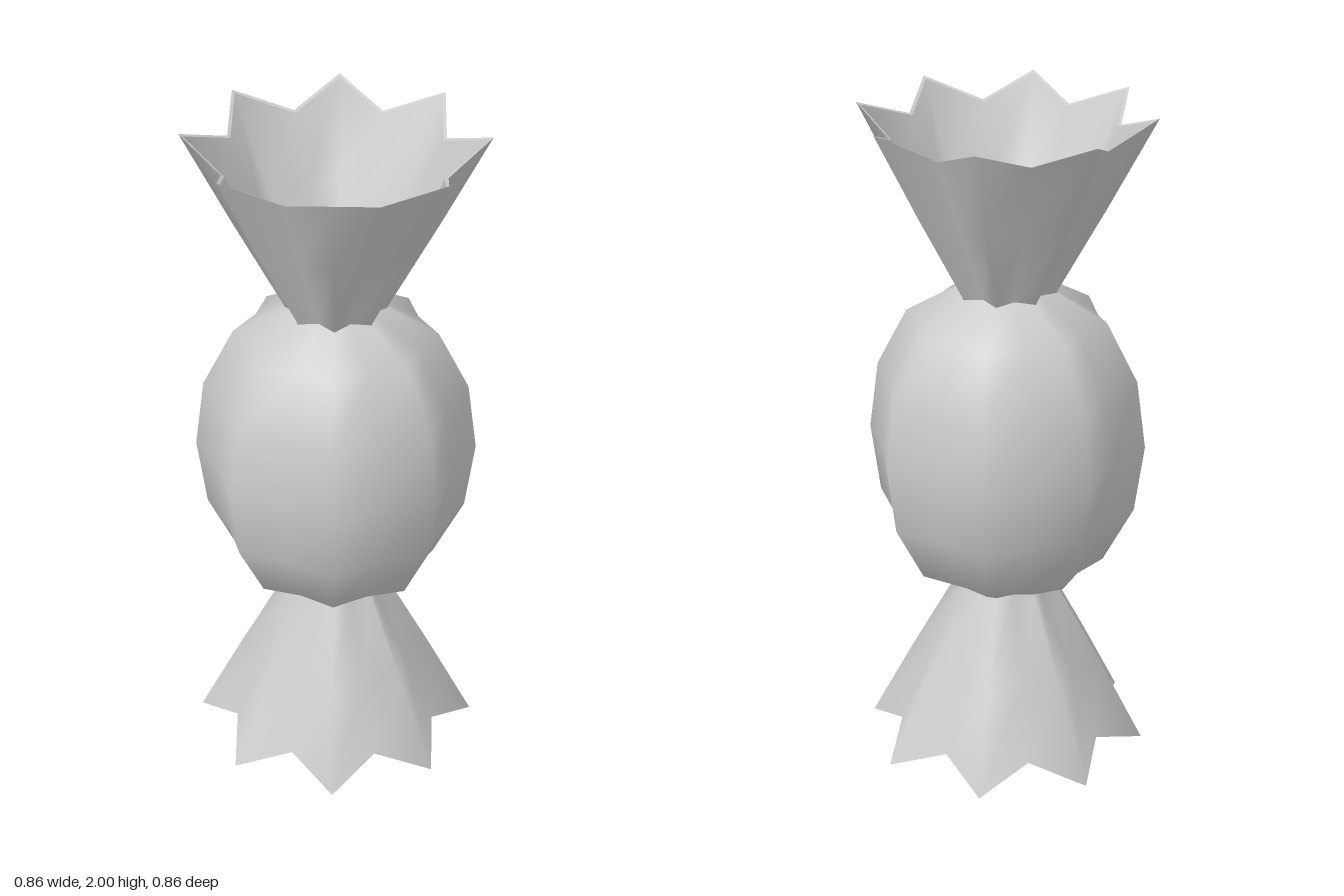
import * as THREE from 'three';

const POINTS = 8;
const SIDES = POINTS * 2;
const material = new THREE.MeshStandardMaterial({ color: 0xcccccc, side: THREE.DoubleSide });

// Skins star-shaped rings, listed bottom to top as [tipRadius, tipY, valleyRadius, valleyY]
function starLoft(name, rings) {
  const positions = [];
  const index = [];
  for (const [tipR, tipY, valleyR, valleyY] of rings) {
    for (let i = 0; i < SIDES; i++) {
      const a = (i / SIDES) * Math.PI * 2;
      const r = i % 2 ? valleyR : tipR;
      positions.push(r * Math.sin(a), i % 2 ? valleyY : tipY, r * Math.cos(a));
    }
  }
  for (let j = 0; j < rings.length - 1; j++) {
    for (let i = 0; i < SIDES; i++) {
      const a = j * SIDES + i;
      const b = j * SIDES + ((i + 1) % SIDES);
      index.push(a, b, b + SIDES, a, b + SIDES, a + SIDES);
    }
  }
  const geometry = new THREE.BufferGeometry();
  geometry.setAttribute('position', new THREE.Float32BufferAttribute(positions, 3));
  geometry.setIndex(index);
  geometry.computeVertexNormals();
  const mesh = new THREE.Mesh(geometry, material);
  mesh.name = name;
  return mesh;
}

// Flared wrapper end with a zigzag rim, heights relative to the middle of the sweet
function createTail(name) {
  const tail = new THREE.Group();
  tail.name = name;
  const outer = [
    [0.147, 0.468, 0.116, 0.472],
    [0.292, 0.735, 0.23, 0.715],
    [0.43, 1.0, 0.332, 0.938],
  ];
  const inner = [
    [0.418, 0.993, 0.322, 0.933],
    [0.284, 0.735, 0.223, 0.715],
    [0.145, 0.472, 0.114, 0.472],
  ];
  tail.add(starLoft('tailOutside', outer));
  tail.add(starLoft('tailRim', [outer[2], inner[0]]));
  tail.add(starLoft('tailInside', inner));
  // Flat star closing the neck
  tail.add(starLoft('neckFloor', [inner[2], [0, 0.472, 0, 0.472]]));
  return tail;
}

export function createModel() {
  const model = new THREE.Group();
  model.name = 'wrappedSweet';
  const centre = new THREE.Group();
  centre.name = 'sweet';
  centre.position.y = 1;

  // Pleated round body, symmetric above and below its middle
  const upper = [
    [0.388, 0.207, 0.343, 0.207],
    [0.297, 0.383, 0.255, 0.387],
    [0.15, 0.468, 0.118, 0.473],
  ];
  const lower = upper.map(([r, y, vr, vy]) => [r, -y, vr, -vy]).reverse();
  centre.add(starLoft('body', [...lower, [0.416, 0, 0.368, 0], ...upper]));

  const topTail = createTail('topTail');
  const bottomTail = createTail('bottomTail');
  bottomTail.rotation.x = Math.PI;
  centre.add(topTail, bottomTail);

  model.add(centre);
  return model;
}
